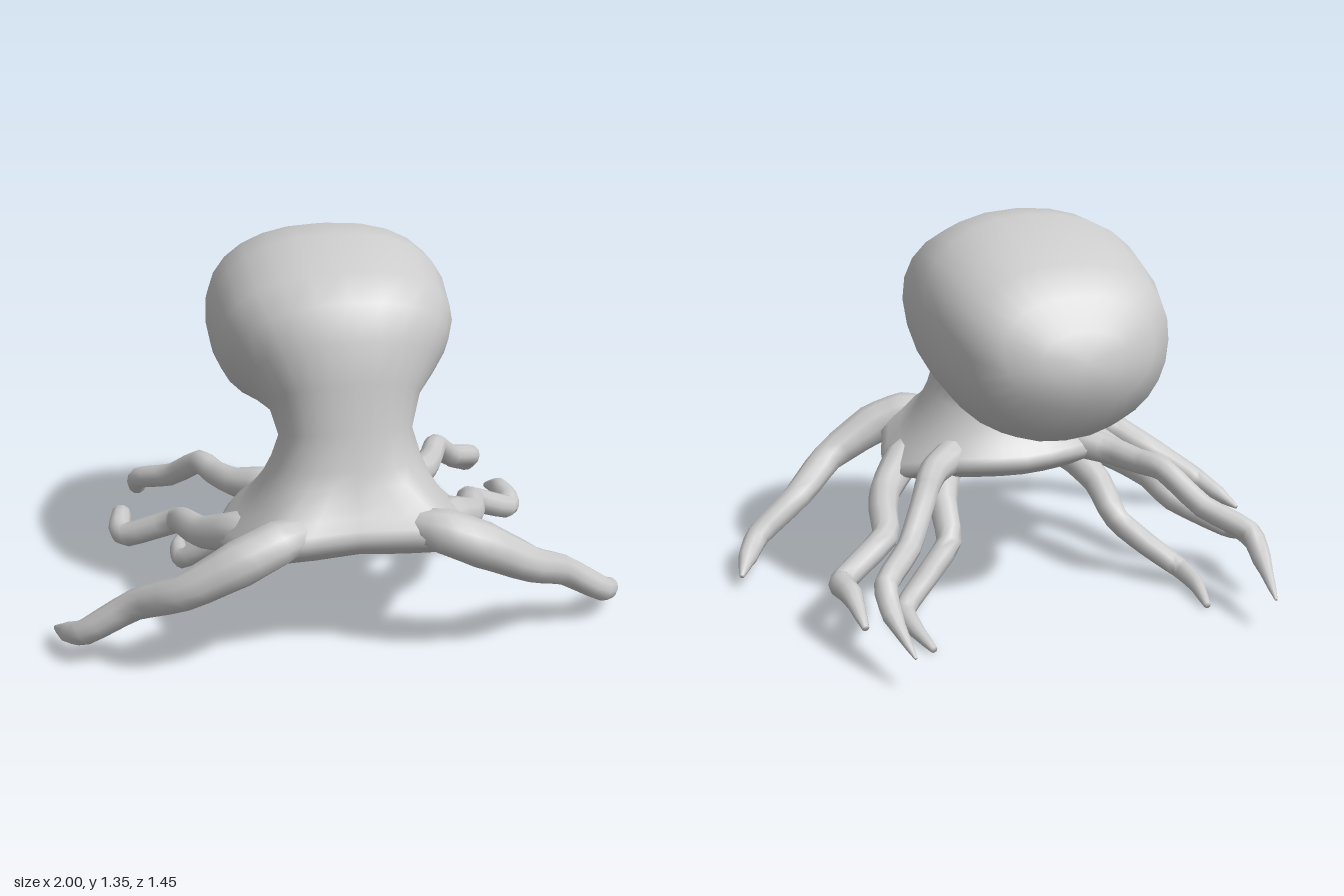
import * as THREE from 'three';
import { mergeVertices } from 'three/addons/utils/BufferGeometryUtils.js';

const material = new THREE.MeshStandardMaterial({ color: 0xcccccc });
const vec = (x, y, z) => new THREE.Vector3(x, y, z);

// Skin a list of rings, each an array of the same number of points.
function loft(rings) {
  const sides = rings[0].length, index = [];
  const pos = rings.flat().flatMap((p) => [p.x, p.y, p.z]);
  for (let i = 0; i < rings.length - 1; i++) {
    for (let j = 0; j < sides; j++) {
      const a = i * sides + j, b = i * sides + ((j + 1) % sides);
      index.push(a, b, b + sides, a, b + sides, a + sides);
    }
  }
  const geo = new THREE.BufferGeometry();
  geo.setAttribute('position', new THREE.Float32BufferAttribute(pos, 3));
  geo.setIndex(index);
  const merged = mergeVertices(geo, 1e-5);
  merged.computeVertexNormals();
  return merged;
}

// Sections up the neck and back over the mantle:
// front/top point (z, y), rear/under point (z, y), half width
const SECTIONS = [
  [0.54, 0.68, 0.065, 0.61, 0.25],
  [0.51, 0.80, 0.085, 0.66, 0.222],
  [0.49, 0.96, 0.065, 0.69, 0.25],
  [0.465, 1.10, 0.02, 0.69, 0.315],
  [0.41, 1.21, -0.03, 0.68, 0.365],
  [0.30, 1.28, -0.10, 0.655, 0.40],
  [0.09, 1.352, -0.17, 0.635, 0.415],
  [-0.05, 1.355, -0.26, 0.625, 0.412],
  [-0.22, 1.31, -0.38, 0.65, 0.39],
  [-0.38, 1.25, -0.49, 0.71, 0.345],
  [-0.47, 1.165, -0.555, 0.81, 0.26],
  [-0.535, 1.06, -0.575, 0.89, 0.14],
  [-0.577, 0.97, -0.577, 0.97, 0],
];

// Hem of the web between the arms, from the rear to the front on one side
const HEM = [
  [0, 0.45, -0.03], [0.19, 0.455, 0.0], [0.32, 0.44, 0.07], [0.42, 0.385, 0.2],
  [0.435, 0.375, 0.34], [0.395, 0.415, 0.51], [0.33, 0.47, 0.655], [0, 0.47, 0.62],
];

const BODY_SIDES = 28;

// Softly squared oval, a little wider towards its front/top
function sectionRing([fz, fy, bz, by, w]) {
  const soft = (k) => Math.sign(k) * Math.abs(k) ** 0.9;
  return Array.from({ length: BODY_SIDES }, (_, j) => {
    const a = (j / BODY_SIDES) * Math.PI * 2;
    const s = soft(Math.sin(a)), k = (s + 1) / 2;
    const x = w * soft(Math.cos(a)) * (1 - 0.09 * s);
    return vec(x, THREE.MathUtils.lerp(fy, by, k), THREE.MathUtils.lerp(fz, bz, k));
  });
}

function hemRing() {
  const right = HEM.map(([x, y, z]) => vec(-x, y, z));
  const left = HEM.slice(1, -1).reverse().map(([x, y, z]) => vec(x, y, z));
  const curve = new THREE.CatmullRomCurve3([...right, ...left], true);
  return Array.from({ length: BODY_SIDES }, (_, j) => curve.getPoint(((j - 7 + BODY_SIDES) % BODY_SIDES) / BODY_SIDES));
}

function bodyGeometry() {
  const upper = SECTIONS.map(sectionRing);
  const hem = hemRing(), neck = upper[0], belly = vec(0, 0.365, 0.3);
  // Underside, from the middle out to the hem: share of the way out, and of the way up
  const under = [[0, 0], [0.5, 0.08], [0.82, 0.3], [0.95, 0.65]].map(([out, rise]) =>
    hem.map((p) => {
      const q = belly.clone().lerp(p, out);
      q.y = THREE.MathUtils.lerp(Math.min(belly.y, p.y - 0.045), p.y, rise);
      return out ? q : belly.clone();
    }));
  // Flare from the hem up to the neck: share of the way out, and of the way down
  const flare = [[0.86, 0.86], [0.62, 0.69], [0.38, 0.48], [0.17, 0.25]].map(([out, drop]) =>
    hem.map((p, j) => {
      const q = neck[j].clone().lerp(p, out);
      q.y = THREE.MathUtils.lerp(neck[j].y, p.y, drop);
      return q;
    }));
  return loft([...under, hem, ...flare, ...upper]);
}

// Arm paths on the left side: x, y, z, radius
const ARMS = {
  frontArm: [
    [0.17, 0.49, 0.56, 0.05], [0.27, 0.485, 0.615, 0.075], [0.40, 0.435, 0.64, 0.078],
    [0.58, 0.335, 0.615, 0.06], [0.73, 0.24, 0.49, 0.052], [0.895, 0.125, 0.435, 0.044],
    [0.955, 0.08, 0.345, 0.035], [0.995, 0.05, 0.25, 0.008],
  ],
  sideArm: [
    [0.27, 0.43, 0.42, 0.05], [0.37, 0.395, 0.32, 0.07], [0.475, 0.335, 0.18, 0.056],
    [0.52, 0.31, 0.04, 0.051], [0.55, 0.265, -0.08, 0.047], [0.72, 0.175, -0.18, 0.044],
    [0.745, 0.18, -0.24, 0.042], [0.735, 0.185, -0.34, 0.037], [0.728, 0.13, -0.485, 0.012],
  ],
  upperRearArm: [
    [0.16, 0.46, 0.18, 0.05], [0.25, 0.465, 0.10, 0.062], [0.34, 0.445, 0.02, 0.052],
    [0.40, 0.435, -0.10, 0.045], [0.445, 0.435, -0.21, 0.043], [0.54, 0.33, -0.35, 0.042],
    [0.655, 0.27, -0.48, 0.04], [0.66, 0.20, -0.57, 0.034], [0.632, 0.12, -0.73, 0.005],
  ],
  lowerRearArm: [
    [0.16, 0.43, 0.24, 0.05], [0.25, 0.385, 0.17, 0.062], [0.30, 0.32, 0.04, 0.052],
    [0.32, 0.22, -0.09, 0.045], [0.42, 0.125, -0.145, 0.042], [0.52, 0.045, -0.21, 0.038],
    [0.525, 0.035, -0.34, 0.03], [0.50, 0.015, -0.485, 0.012],
  ],
};

// Tapered tube with crisp bends along a path, closed at both ends
function armGeometry(path, side) {
  const points = path.map(([x, y, z]) => vec(x * side, y, z));
  const curve = new THREE.CatmullRomCurve3(points, false, 'catmullrom', 0.3);
  const spans = path.length - 1, steps = spans * 3, sides = 10, up = vec(0, 1, 0);
  const rings = [];
  for (let i = 0; i <= steps; i++) {
    const t = i / steps, k = Math.min(Math.floor(t * spans), spans - 1);
    const r = THREE.MathUtils.lerp(path[k][3], path[k + 1][3], t * spans - k);
    const dir = curve.getTangent(t), centre = curve.getPoint(t);
    const u = vec().crossVectors(dir, up).normalize();
    const v = vec().crossVectors(dir, u);
    const ring = (radius) => Array.from({ length: sides }, (_, j) => {
      const a = (j / sides) * Math.PI * 2;
      return centre.clone().addScaledVector(u, radius * Math.cos(a)).addScaledVector(v, radius * Math.sin(a));
    });
    if (i === 0) rings.push(ring(0));
    rings.push(ring(r));
    if (i === steps) rings.push(ring(0));
  }
  return loft(rings);
}

export function createModel() {
  const group = new THREE.Group();
  group.name = 'octopus';
  const add = (name, geometry) => {
    const mesh = new THREE.Mesh(geometry, material);
    mesh.name = name;
    group.add(mesh);
  };
  add('body', bodyGeometry());
  for (const [name, path] of Object.entries(ARMS)) {
    add(name + 'Left', armGeometry(path, 1));
    add(name + 'Right', armGeometry(path, -1));
  }
  return group;
}
